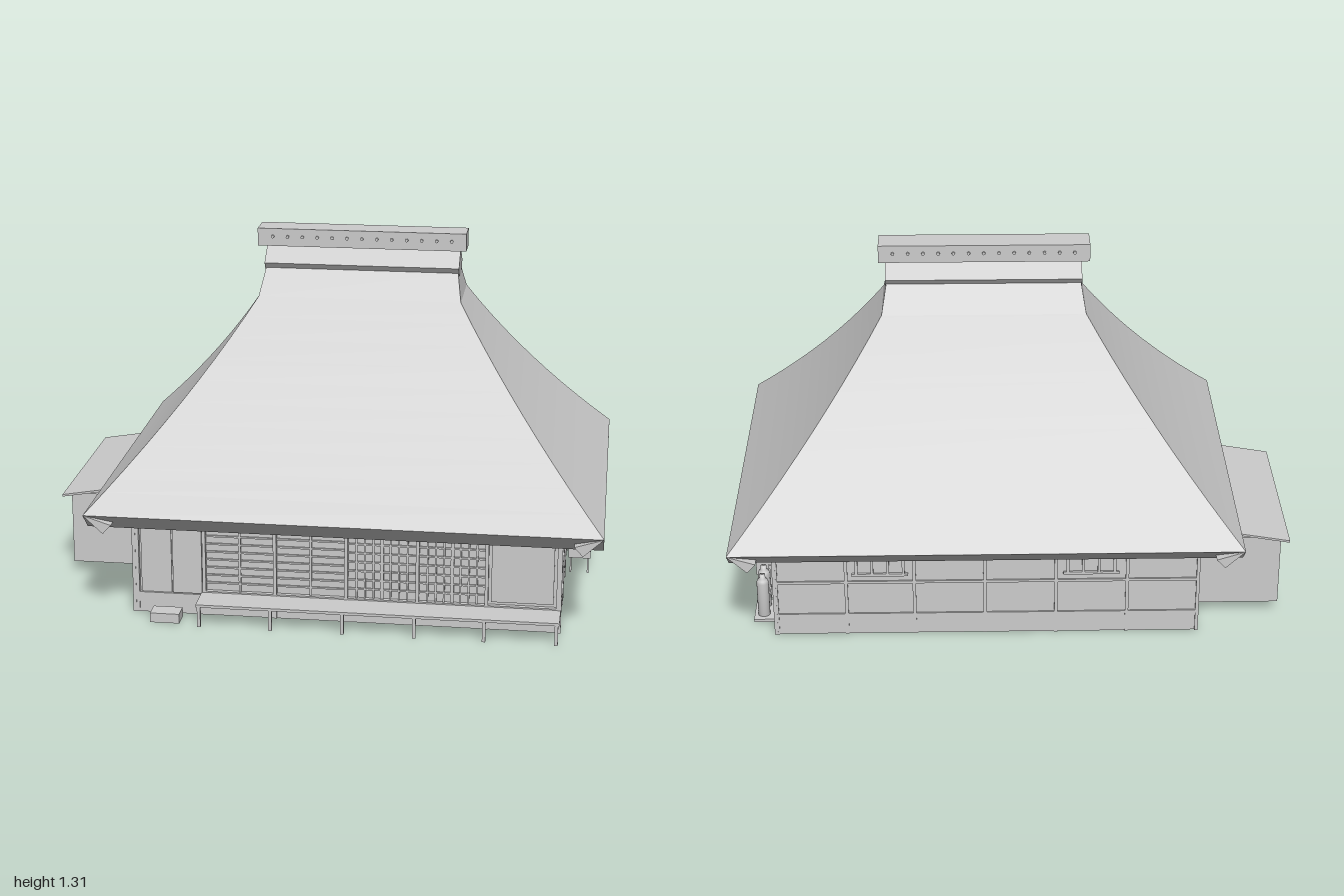
import * as THREE from 'three';

const grey = new THREE.MeshStandardMaterial({ color: 0xcccccc });
grey.name = 'plain grey';
const greyOpen = grey;

// Body limits
const X0 = -0.67, X1 = 0.86, ZH = 0.535, CX = 0.095;
const POSTS = [-0.41, -0.155, 0.1, 0.353, 0.597, 0.848];

function add(parent, name, geometry) {
  const mesh = new THREE.Mesh(geometry, grey);
  mesh.name = name;
  parent.add(mesh);
  return mesh;
}

// Box given by its limits
function box(parent, name, x0, x1, y0, y1, z0, z1) {
  const mesh = add(parent, name, new THREE.BoxGeometry(x1 - x0, y1 - y0, z1 - z0));
  mesh.position.set((x0 + x1) / 2, (y0 + y1) / 2, (z0 + z1) / 2);
  return mesh;
}

function group(parent, name) {
  const g = new THREE.Group();
  g.name = name;
  parent.add(g);
  return g;
}

// Solid with a flat section in x, y, extruded along z and centred
function prism(points, length) {
  const shape = new THREE.Shape(points.map(([x, y]) => new THREE.Vector2(x, y)));
  return new THREE.ExtrudeGeometry(shape, { depth: length, bevelEnabled: false }).translate(0, 0, -length / 2);
}

// Four smooth strips through rectangular rings [halfX, y, halfZ], with sharp hips
function hippedShell(parent, name, rings) {
  const signs = [[-1, 1], [1, 1], [1, -1], [-1, -1]];
  for (let side = 0; side < 4; side++) {
    const position = [], index = [];
    rings.forEach(([hx, y, hz], i) => {
      for (const k of [side, (side + 1) % 4]) position.push(CX + signs[k][0] * hx, y, signs[k][1] * hz);
      if (i) {
        const a = 2 * i - 2;
        index.push(a, a + 1, a + 3, a, a + 3, a + 2);
      }
    });
    const g = new THREE.BufferGeometry();
    g.setAttribute('position', new THREE.Float32BufferAttribute(position, 3));
    g.setIndex(index);
    g.computeVertexNormals();
    add(parent, name, g);
  }
}

function buildRoof(root) {
  const roof = group(root, 'roof');
  // Slightly hollow thatch slopes
  const rings = [];
  for (let i = 0; i <= 10; i++) {
    const t = i / 10, inset = 0.654 * t - 0.114 * t * t;
    rings.push([0.905 - inset, 0.41 + 0.67 * t, 0.675 - inset]);
  }
  hippedShell(roof, 'thatchSlope', rings);
  hippedShell(roof, 'upperGable', [[0.365, 1.08, 0.135], [0.348, 1.172, 0.062]]);
  hippedShell(roof, 'upperGable', [[0.348, 1.172, 0.062], [0.345, 1.24, 0]]);

  // Wedge-shaped thatch edges running past each other at the corners
  for (let k = 0; k < 4; k++) {
    const out = k % 2 ? 0.675 : 0.905, length = k % 2 ? 1.81 : 1.35;
    const eave = add(roof, 'eave', prism([[out, 0.41], [out - 0.1, 0.378], [out - 0.07, 0.345]], length));
    eave.position.x = CX;
    eave.rotation.y = -k * Math.PI / 2;
  }
  box(roof, 'soffit', CX - 0.82, CX + 0.82, 0.375, 0.381, -0.59, 0.59);

  // Folded ridge cover
  const cover = add(roof, 'ridgeCover',
    prism([[0, 1.25], [-0.077, 1.19], [-0.062, 1.168], [0, 1.12], [0.062, 1.168], [0.077, 1.19]], 0.704));
  cover.rotation.y = Math.PI / 2;
  cover.position.x = CX;
  // Ridge box with a row of pegs
  box(roof, 'ridgeBox', -0.285, 0.47, 1.248, 1.312, -0.052, 0.052);
  for (let i = 0; i < 13; i++) {
    const peg = add(roof, 'ridgePeg', new THREE.CylinderGeometry(0.006, 0.006, 0.118, 8));
    peg.rotation.x = Math.PI / 2;
    peg.position.set(-0.23 + i * 0.054, 1.283, 0);
  }
}

function buildWalls(root) {
  const walls = group(root, 'walls');
  box(walls, 'wallCore', X0 + 0.006, X1 - 0.006, 0, 0.376, -ZH + 0.006, ZH - 0.018);
  box(walls, 'foundation', X0 + 0.004, X1 - 0.004, 0, 0.075, -ZH + 0.004, ZH - 0.003);

  // Timber frame on the sides and back
  for (const y of [0.08, 0.215, 0.335]) {
    for (const x of [X0, X1 - 0.01]) box(walls, 'sideRail', x, x + 0.01, y - 0.005, y + 0.005, -ZH, ZH - 0.01);
    box(walls, 'backRail', X0, X1, y - 0.005, y + 0.005, -ZH, -ZH + 0.01);
  }
  for (const z of [-0.53, -0.27, 0, 0.27, 0.53])
    for (const x of [X0, X1 - 0.012])
      box(walls, 'sidePost', x, x + 0.012, 0, 0.375, z - 0.006, z + 0.006);
  for (const x of POSTS) box(walls, 'backPost', x - 0.006, x + 0.006, 0, 0.375, -ZH, -ZH + 0.012);

  // Barred windows high in the back wall
  for (const x of [0.475, -0.28]) {
    const win = group(walls, 'barredWindow');
    for (let i = 0; i < 4; i++) {
      const bx = x - 0.084 + i * 0.056;
      box(win, 'windowBar', bx - 0.005, bx + 0.005, 0.25, 0.34, -ZH - 0.003, -ZH + 0.007);
    }
    box(win, 'windowSill', x - 0.1, x + 0.1, 0.242, 0.252, -ZH - 0.003, -ZH + 0.007);
  }
}

function buildFront(root) {
  const front = group(root, 'frontFacade');
  const z = ZH - 0.018;
  for (const x of [-0.652, ...POSTS]) box(front, 'frontPost', x - 0.006, x + 0.006, 0.0, 0.375, z, ZH);
  box(front, 'lintel', X0, X1, 0.326, 0.338, z, ZH - 0.002);
  box(front, 'threshold', -0.42, X1, 0.075, 0.09, z, ZH - 0.002);
  box(front, 'shutterBox', -0.523, -0.418, 0.08, 0.326, z, ZH);
  box(front, 'entranceDoor', -0.64, -0.53, 0.02, 0.326, z, z + 0.006);

  for (let bay = 0; bay < 5; bay++) {
    const a = POSTS[bay] + 0.006, b = POSTS[bay + 1] - 0.006;
    if (bay < 2) {
      // Slatted shutters
      for (let i = 1; i < 8; i++) {
        const y = 0.09 + i * 0.0295;
        box(front, 'shutterSlat', a, b, y - 0.003, y + 0.003, z, z + 0.006);
      }
      box(front, 'shutterStile', (a + b) / 2 - 0.004, (a + b) / 2 + 0.004, 0.09, 0.326, z, z + 0.008);
    } else if (bay < 4) {
      // Lattice screens
      for (let i = 1; i < 8; i++) {
        const x = a + (b - a) * i / 8, w = i === 4 ? 0.006 : 0.003;
        box(front, 'latticeUpright', x - w, x + w, 0.09, 0.326, z, z + 0.007);
      }
      for (let i = 1; i < 7; i++) {
        const y = 0.09 + i * 0.0337;
        box(front, 'latticeBar', a, b, y - 0.003, y + 0.003, z, z + 0.006);
      }
    } else {
      box(front, 'plainPanel', a + 0.01, b - 0.01, 0.1, 0.316, z, z + 0.005);
    }
  }

  // Veranda deck on short legs, and a step
  const veranda = group(root, 'veranda');
  box(veranda, 'deck', -0.42, X1 - 0.002, 0.075, 0.085, z, 0.65);
  for (const x of POSTS) box(veranda, 'deckLeg', x - 0.006, x + 0.006, 0, 0.075, 0.636, 0.648);
  box(veranda, 'stepStone', -0.59, -0.485, 0, 0.035, 0.56, 0.627);
}

function buildLeanTo(root) {
  const leanTo = group(root, 'leanTo');
  box(leanTo, 'leanToBody', -0.972, X0 + 0.01, 0.046, 0.318, -0.42, 0.2);
  const roof = add(leanTo, 'leanToRoof',
    prism([[-1, 0.312], [-0.66, 0.37], [-0.66, 0.378], [-1, 0.32]], 0.68));
  roof.position.z = -0.11;
}

function buildUtilities(root) {
  // Tank on legs
  const tank = group(root, 'fuelTank');
  box(tank, 'tankBody', 0.868, 0.95, 0.06, 0.184, -0.217, -0.043);
  for (const x of [0.874, 0.938])
    for (const z of [-0.211, -0.055]) box(tank, 'tankLeg', x, x + 0.006, 0, 0.06, z, z + 0.006);
  const cap = add(tank, 'tankCap', new THREE.CylinderGeometry(0.007, 0.007, 0.012, 12));
  cap.position.set(0.909, 0.19, -0.182);

  // Pair of gas bottles on a slab
  const gas = group(root, 'gasBottles');
  box(gas, 'bottleSlab', 0.862, 0.942, 0, 0.011, -0.45, -0.312);
  const profile = [[0, 0.011], [0.022, 0.011], [0.022, 0.145], [0.019, 0.156], [0.011, 0.163], [0.011, 0.178], [0, 0.178]]
    .map(([x, y]) => new THREE.Vector2(x, y));
  for (const z of [-0.348, -0.41])
    add(gas, 'bottle', new THREE.LatheGeometry(profile, 20)).position.set(0.908, 0, z);
  box(gas, 'regulatorPipe', 0.876, 0.882, 0.06, 0.2, -0.382, -0.376);
  box(gas, 'regulator', 0.872, 0.886, 0.185, 0.2, -0.384, -0.374);
  box(gas, 'bottleStrap', 0.878, 0.884, 0.11, 0.118, -0.42, -0.34);
}

export function createModel() {
  const root = new THREE.Group();
  root.name = 'thatchedFarmhouse';
  buildRoof(root);
  buildWalls(root);
  buildFront(root);
  buildLeanTo(root);
  buildUtilities(root);
  return root;
}
